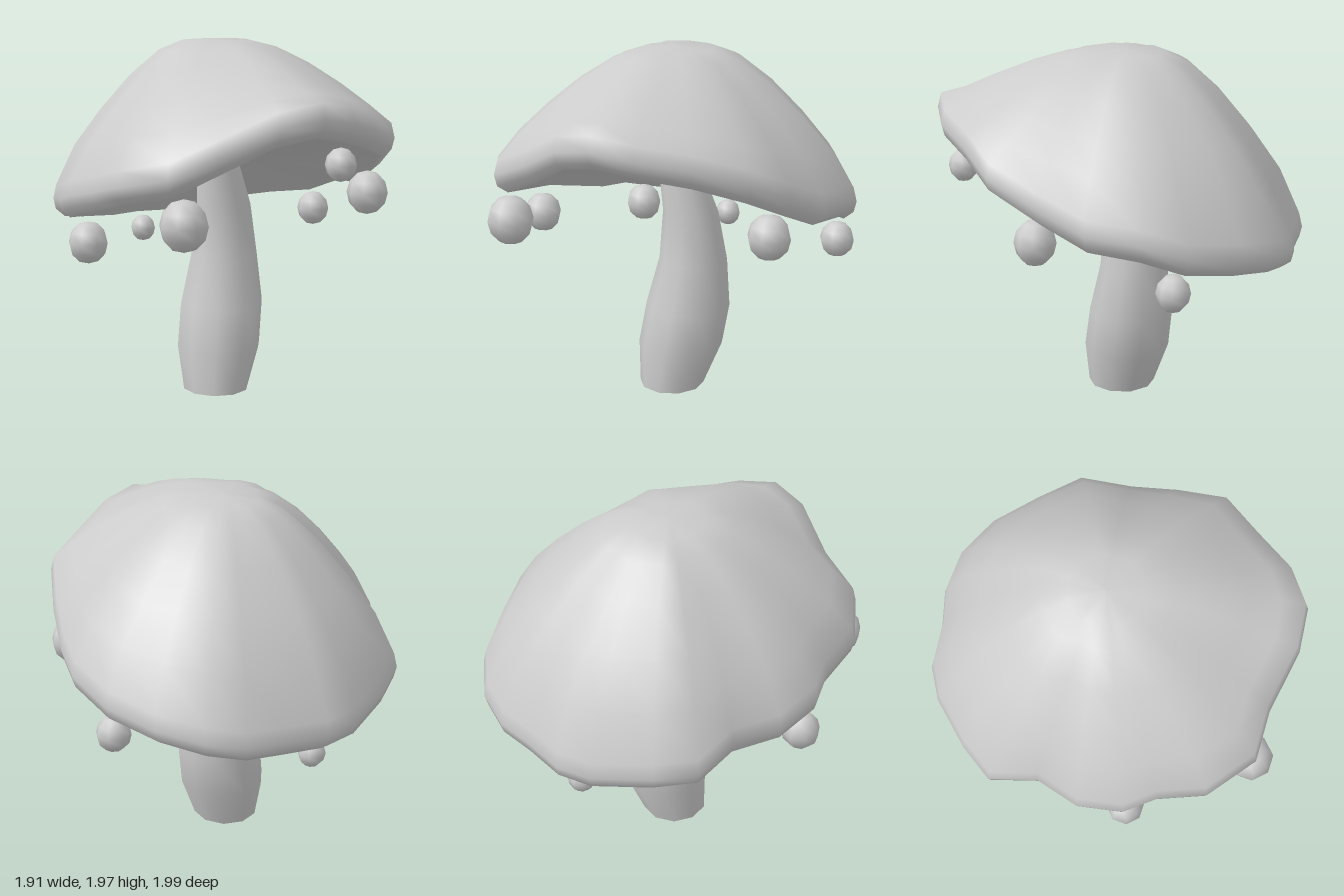
import * as THREE from 'three';

const material = new THREE.MeshStandardMaterial({ color: 0xcccccc });

// Skin closed rings of points, ordered from the top down
function loft(name, rings) {
  const n = rings[0].length;
  const index = [];
  for (let i = 0; i < rings.length - 1; i++) {
    for (let j = 0; j < n; j++) {
      const k = (j + 1) % n;
      const a = i * n + j, b = a + n, c = i * n + k, d = c + n;
      index.push(a, c, b, c, d, b);
    }
  }
  const geometry = new THREE.BufferGeometry();
  geometry.setAttribute('position', new THREE.Float32BufferAttribute(rings.flat(2), 3));
  geometry.setIndex(index);
  geometry.computeVertexNormals();
  const mesh = new THREE.Mesh(geometry, material);
  mesh.name = name;
  return mesh;
}

// Wavy rim of the cap as x, z, y, from the back round by the left side
const rim = [
  [-0.03, -1, 0.98], [0.21, -0.94, 0.98], [0.41, -0.92, 1], [0.6, -0.83, 1.04],
  [0.77, -0.64, 1.08], [0.89, -0.37, 1.12], [0.95, -0.13, 1.21], [0.87, 0.15, 1.23],
  [0.78, 0.4, 1.34], [0.66, 0.65, 1.46], [0.41, 0.79, 1.54], [0.17, 0.94, 1.6],
  [-0.05, 0.99, 1.64], [-0.27, 0.93, 1.6], [-0.53, 0.77, 1.46], [-0.76, 0.69, 1.36],
  [-0.91, 0.43, 1.3], [-0.9, 0.18, 1.24], [-0.95, 0, 1.2], [-0.89, -0.24, 1.14],
  [-0.73, -0.44, 1.1], [-0.7, -0.7, 1.06], [-0.51, -0.83, 1.02], [-0.22, -0.97, 0.98],
];

// Ring at fraction t of the rim radius, raised by fraction f towards a peak
function capRing(t, f, peak, offset = 0) {
  const cx = -0.03, cz = -0.04;
  return rim.map(([x, z, y]) => [
    cx + (x - cx) * t,
    y + (peak - y) * f + offset,
    cz + (z - cz) * t,
  ]);
}

function createCap() {
  const cap = new THREE.Group();
  cap.name = 'cap';
  const lowerLip = capRing(0.93, 0, 0, -0.1);
  const top = [
    [0, 1], [0.2, 0.99], [0.34, 0.93], [0.52, 0.77], [0.7, 0.56], [0.86, 0.34],
  ].map(([t, f]) => capRing(t, f, 1.97));
  cap.add(loft('capTop', [
    ...top,
    capRing(0.98, 0, 0, 0.08),
    capRing(1, 0, 0, 0),
    capRing(0.985, 0, 0, -0.06),
    lowerLip,
  ]));
  cap.add(loft('capUnderside', [
    lowerLip,
    capRing(0.6, 0.42, 1.32, -0.06),
    capRing(0.25, 0.8, 1.33, -0.01),
    capRing(0, 1, 1.34),
  ]));
  return cap;
}

// Bent stem: height, centre x, centre z, radius x, radius z
function createStem() {
  const sections = [
    [1.4, -0.04, -0.03, 0, 0], [1.38, -0.035, -0.03, 0.07, 0.07],
    [1.3, -0.02, -0.04, 0.12, 0.11], [1.05, 0.035, -0.06, 0.155, 0.14],
    [0.77, 0.045, -0.075, 0.19, 0.185], [0.5, 0.02, -0.06, 0.235, 0.23],
    [0.27, -0.015, -0.035, 0.235, 0.235], [0.03, -0.055, -0.005, 0.18, 0.185],
  ];
  const ring = ([y, cx, cz, rx, rz]) => Array.from({ length: 10 }, (_, j) => {
    const a = (j / 10) * Math.PI * 2;
    return [cx + Math.sin(a) * rx, y, cz - Math.cos(a) * rz];
  });
  const stem = new THREE.Group();
  stem.name = 'stem';
  stem.add(loft('stemBody', sections.map(ring)));
  stem.add(loft('stemBase', [
    ring(sections[sections.length - 1]), ring([0, -0.055, -0.005, 0, 0]),
  ]));
  return stem;
}

// Beads hanging below the rim: x, y, z, radius
function createBeads() {
  const beads = new THREE.Group();
  beads.name = 'beads';
  const geometry = new THREE.SphereGeometry(1, 8, 6);
  for (const [x, y, z, r] of [
    [0.17, 1.38, 0.83, 0.088], [-0.67, 1.13, 0.69, 0.133], [0.67, 1.13, 0.41, 0.122],
    [-0.85, 0.95, 0.02, 0.112], [0.81, 0.92, -0.29, 0.1], [-0.05, 0.8, -0.83, 0.078],
  ]) {
    const bead = new THREE.Mesh(geometry, material);
    bead.name = 'bead';
    bead.position.set(x, y, z);
    bead.scale.set(r * 0.96, r, r * 0.9);
    beads.add(bead);
  }
  return beads;
}

export function createModel() {
  const model = new THREE.Group();
  model.name = 'mushroom';
  model.add(createCap(), createStem(), createBeads());
  return model;
}
